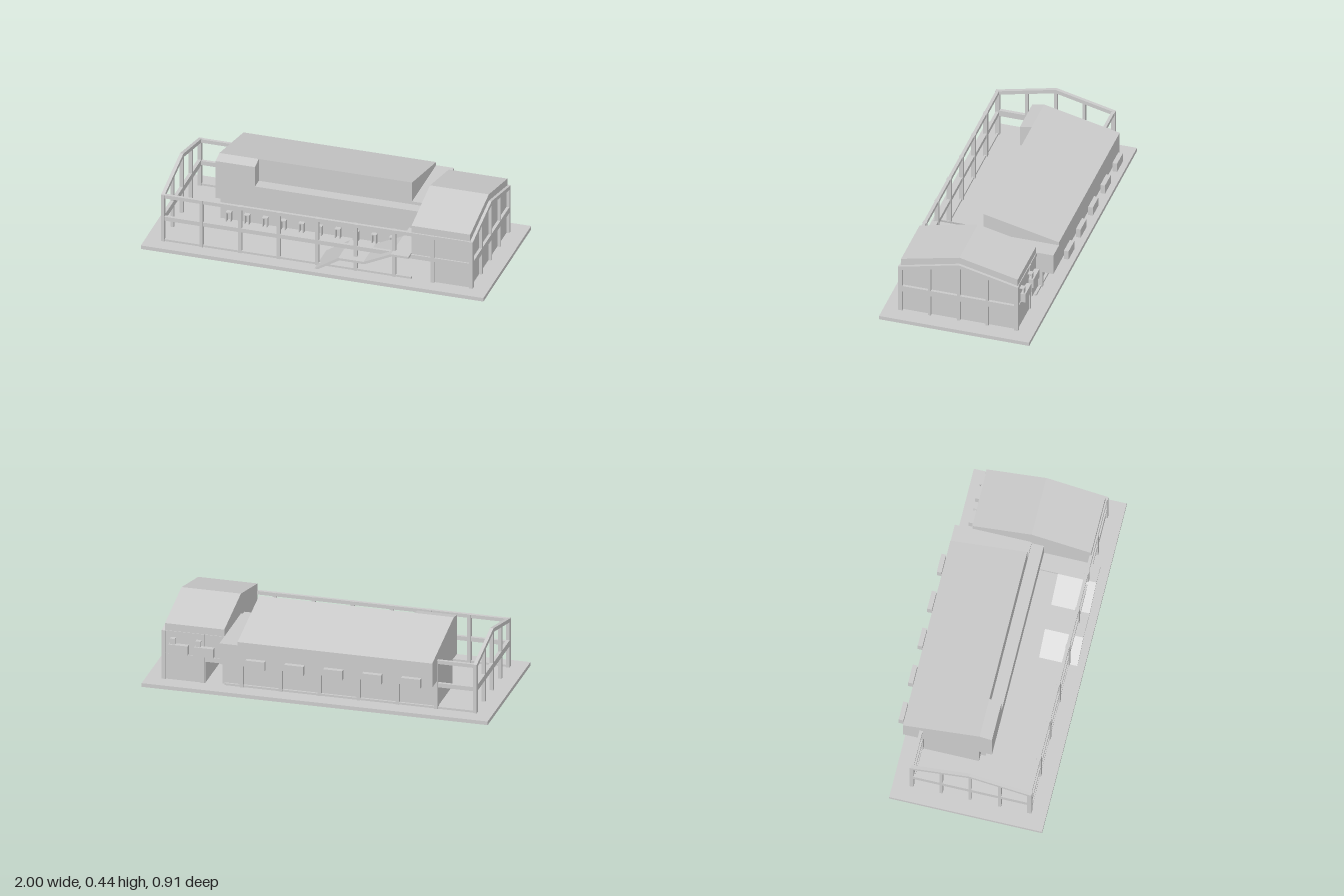
import * as THREE from 'three';

const material = new THREE.MeshStandardMaterial({ color: 0xcccccc, flatShading: true });

export function createModel() {
  const model = new THREE.Group();

  const add = (name, geometry, parent = model) => {
    const mesh = new THREE.Mesh(geometry, material);
    mesh.name = name;
    parent.add(mesh);
    return mesh;
  };
  const group = (name) => {
    const g = new THREE.Group();
    g.name = name;
    model.add(g);
    return g;
  };
  // Box given by its limits on each axis
  const box = (name, x0, x1, y0, y1, z0, z1, parent) =>
    add(name, new THREE.BoxGeometry(x1 - x0, y1 - y0, z1 - z0), parent)
      .position.set((x0 + x1) / 2, (y0 + y1) / 2, (z0 + z1) / 2);
  // Profile of [z, y] points extruded along x
  const alongX = (name, points, x0, x1, parent) => {
    const shape = new THREE.Shape(points.map(([z, y]) => new THREE.Vector2(-z, y)));
    const geometry = new THREE.ExtrudeGeometry(shape, { depth: x1 - x0, bevelEnabled: false });
    geometry.rotateY(Math.PI / 2).translate(x0, 0, 0);
    return add(name, geometry, parent);
  };
  // Profile of [x, y] points extruded along z
  const alongZ = (name, points, z0, z1, parent) => {
    const shape = new THREE.Shape(points.map(([x, y]) => new THREE.Vector2(x, y)));
    const geometry = new THREE.ExtrudeGeometry(shape, { depth: z1 - z0, bevelEnabled: false });
    geometry.translate(0, 0, z0);
    return add(name, geometry, parent);
  };

  const ground = 0.022, floor = 0.187, ridgeZ = 0.02;
  box('basePlate', -1, 1, 0, ground, -0.42, 0.455);

  // Main hall: single-pitch upper floor over a recessed ground floor
  const hall = group('mainHall');
  alongX('upperHall', [[-0.42, 0.19], [ridgeZ, 0.19], [ridgeZ, 0.435], [-0.42, 0.335]], -0.68, 0.445, hall);
  alongX('hallFrontBay', [[ridgeZ, floor], [0.09, floor], [0.09, 0.42], [ridgeZ, 0.435]], -0.68, -0.45, hall);
  box('terraceBlock', -0.45, 0.55, floor, 0.297, ridgeZ, 0.09, hall);
  box('groundFloor', -0.675, 0.565, ground, 0.19, -0.3, 0.015, hall);
  box('connector', 0.445, 0.55, 0.19, 0.315, -0.42, ridgeZ, hall);

  // Right wing: gabled block with a passage beneath its inner side
  const wing = group('rightWing');
  alongX('gabledUpperFloor', [[0.36, 0.15], [0.36, 0.357], [ridgeZ, 0.435], [-0.32, 0.357], [-0.32, 0.15]],
    0.55, 0.893, wing);
  box('wingGroundFloor', 0.66, 0.893, ground, 0.15, -0.32, 0.36, wing);

  // Perimeter frame: columns and rails along the front and back
  const frame = group('perimeterFrame');
  const half = 0.01, frontZ = 0.36, backZ = -0.315;
  for (const z of [frontZ, backZ]) {
    for (let i = 0; i < 9; i++) {
      const x = -0.9 + i * 0.225;
      box('column', x - half, x + half, ground, 0.315, z - 0.012, z + 0.012, frame);
    }
    box('sillRail', -0.9, 0.55, ground, 0.034, z - 0.006, z + 0.006, frame);
    box('middleRail', -0.9, 0.9, 0.153, 0.178, z - 0.009, z + 0.009, frame);
    box('topRail', -0.9, 0.9, 0.294, 0.315, z - 0.009, z + 0.009, frame);
  }

  // Gabled end frames
  const slope = 0.08 / 0.34;
  const gableY = (z) => 0.395 - Math.abs(z - ridgeZ) * slope;
  for (const x of [-0.9, 0.9]) {
    for (const z of [0.19, 0.02, -0.145]) {
      box('gablePost', x - half, x + half, ground, gableY(z) - 0.005, z - 0.008, z + 0.008, frame);
    }
    box('endRail', x - half, x + half, 0.151, floor, backZ, frontZ, frame);
    const a = frontZ + 0.012, b = backZ - 0.012;
    alongX('gableBeam', [[a, 0.29], [a, gableY(a)], [ridgeZ, 0.395], [b, gableY(b)], [b, 0.29], [ridgeZ, 0.372]],
      x - half, x + half, frame);
  }

  // Ramped stair with a mid landing and a bridge to the hall
  const stair = group('frontStair');
  alongZ('stairFlights', [[0, ground], [0.022, ground], [0.147, 0.098], [0.293, 0.098], [0.453, 0.174],
    [0.55, 0.174], [0.55, floor], [0.447, floor], [0.287, 0.112], [0.14, 0.112]], 0.195, 0.415, stair);
  box('upperLanding', 0.45, 0.55, 0.174, floor, 0.09, 0.195, stair);

  // Row of small hoop stands along the ground floor
  const stands = group('hoopStands');
  for (let i = 0; i < 10; i++) {
    const x = -0.62 + i * 0.106;
    for (const s of [-1, 1]) {
      const leg = x + s * 0.0125;
      box('standLeg', leg - 0.003, leg + 0.003, ground, 0.08, 0.018, 0.045, stands);
    }
    box('standTop', x - 0.0155, x + 0.0155, 0.074, 0.08, 0.018, 0.045, stands);
  }

  // Hanging boxes along the rear wall
  const boxes = group('rearBoxes');
  for (let i = 0; i < 5; i++) {
    const x = -0.565 + i * 0.225;
    box('rearBox', x - 0.055, x + 0.055, 0.19, 0.245, -0.458, -0.431, boxes);
  }
  for (const x of [0.66, 0.808]) {
    box('wingBox', x - 0.055, x + 0.055, 0.19, 0.245, -0.355, -0.327, boxes);
    box('boxBracketPost', x + 0.02, x + 0.05, 0.24, 0.278, -0.346, -0.34, boxes);
    box('boxBracketArm', x + 0.02, x + 0.05, 0.272, 0.278, -0.346, -0.32, boxes);
  }

  return model;
}
